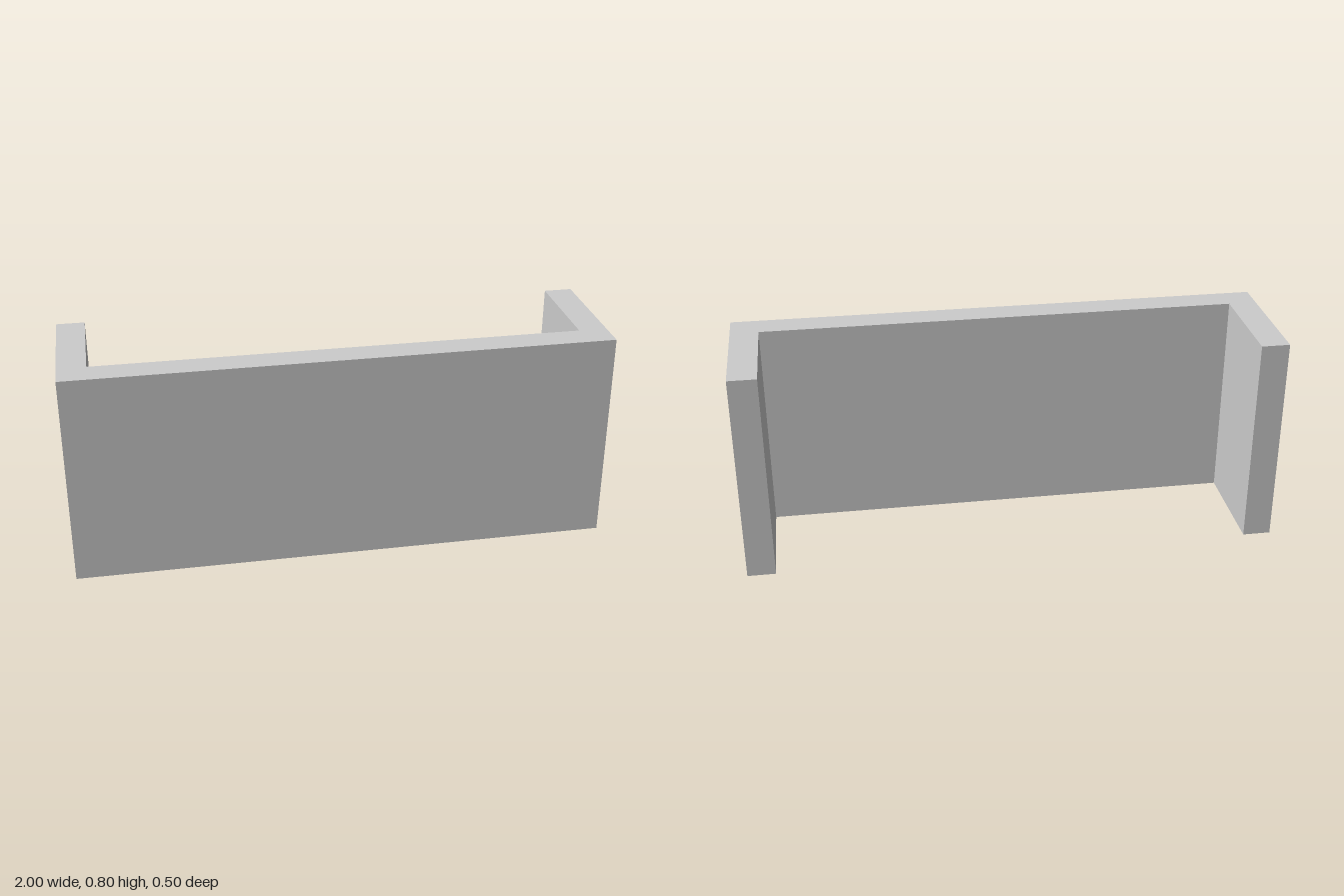
import * as THREE from 'three';

const HALF_WIDTH = 1, HALF_DEPTH = 0.252, HEIGHT = 0.8, WALL = 0.105;

export function createModel() {
  const group = new THREE.Group();
  group.name = 'channelPanel';

  // U-shaped plan: a long front wall with a short return at each end, open at the back
  const inX = HALF_WIDTH - WALL, inZ = HALF_DEPTH - WALL;
  const plan = [
    [-HALF_WIDTH, HALF_DEPTH], [HALF_WIDTH, HALF_DEPTH],
    [HALF_WIDTH, -HALF_DEPTH], [inX, -HALF_DEPTH],
    [inX, inZ], [-inX, inZ],
    [-inX, -HALF_DEPTH], [-HALF_WIDTH, -HALF_DEPTH],
  ];
  const shape = new THREE.Shape(plan.map(([x, z]) => new THREE.Vector2(x, -z)));

  // Raise the plan to full height
  const geometry = new THREE.ExtrudeGeometry(shape, { depth: HEIGHT, bevelEnabled: false });
  geometry.rotateX(-Math.PI / 2);

  const walls = new THREE.Mesh(geometry, new THREE.MeshStandardMaterial({ color: 0xcccccc }));
  walls.name = 'frontWallWithSideReturns';
  group.add(walls);
  return group;
}
